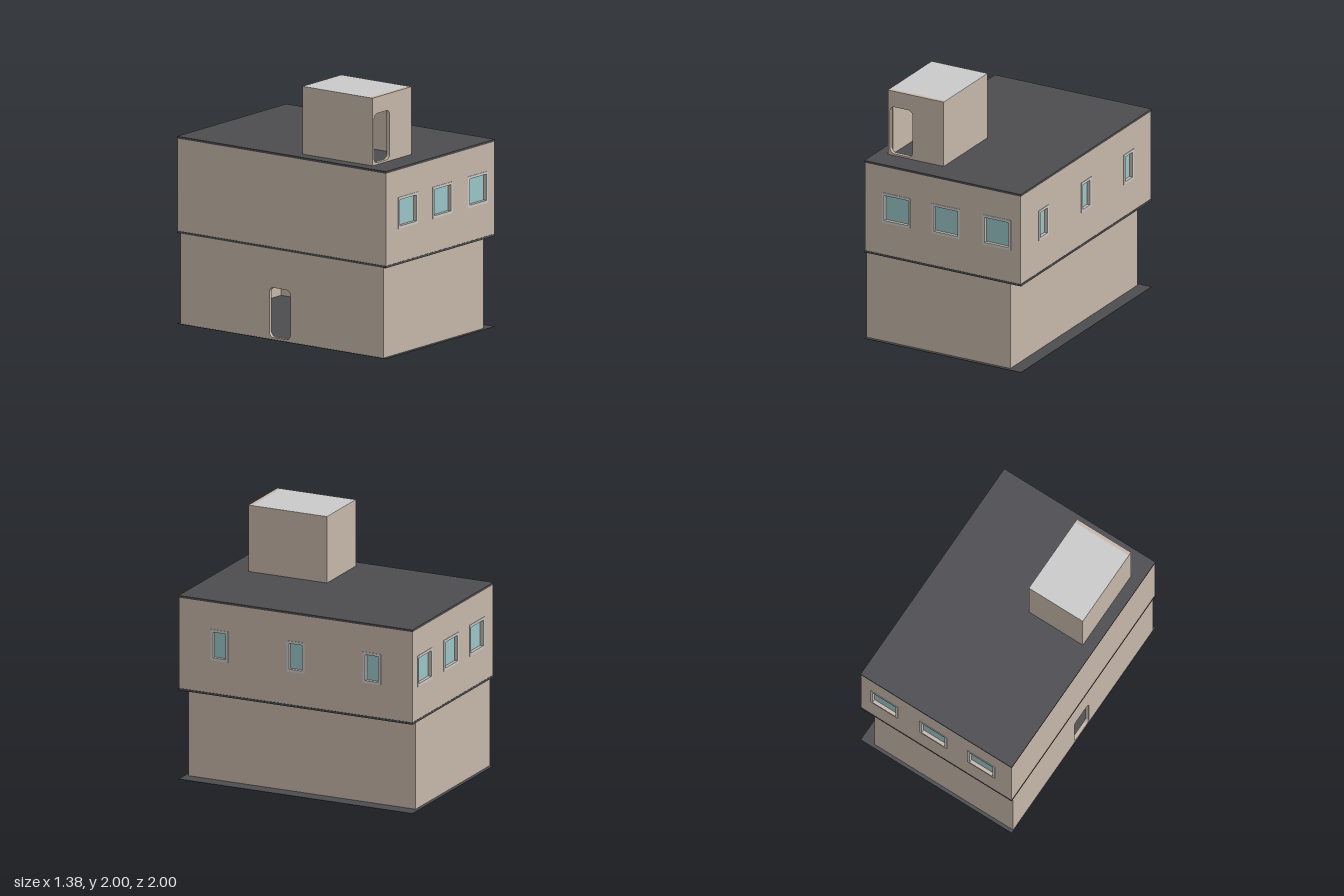
import * as THREE from 'three';

export function createModel() {
  const mat = (name, color) => new THREE.MeshStandardMaterial({ name, color });
  const wall = mat('beige wall', 0xc5b6a9);
  const dark = mat('dark slab', 0x4c4c50);
  const grey = mat('light grey', 0xc9c9c9);
  const glass = mat('window glass', 0x99c5c6);
  const T = 0.03; // wall thickness

  const model = new THREE.Group();
  model.name = 'house';

  const add = (parent, name, geometry, material) => {
    const mesh = new THREE.Mesh(geometry, material);
    mesh.name = name;
    parent.add(mesh);
    return mesh;
  };

  // Box given by its limits
  const box = (parent, name, material, x0, x1, y0, y1, z0, z1) => {
    const mesh = add(parent, name, new THREE.BoxGeometry(x1 - x0, y1 - y0, z1 - z0), material);
    mesh.position.set((x0 + x1) / 2, (y0 + y1) / 2, (z0 + z1) / 2);
  };

  // Rectangle with optionally rounded corners
  const outline = (Type, x0, x1, y0, y1, r = 0) => {
    const p = new Type();
    p.moveTo(x0 + r, y0);
    p.lineTo(x1 - r, y0);
    if (r) p.absarc(x1 - r, y0 + r, r, -Math.PI / 2, 0);
    else p.lineTo(x1, y0);
    p.lineTo(x1, y1 - r);
    if (r) p.absarc(x1 - r, y1 - r, r, 0, Math.PI / 2);
    p.lineTo(x0 + r, y1);
    if (r) p.absarc(x0 + r, y1 - r, r, Math.PI / 2, Math.PI);
    p.lineTo(x0, y0 + r);
    if (r) p.absarc(x0 + r, y0 + r, r, Math.PI, Math.PI * 1.5);
    return p;
  };

  // Upright plate with holes; its outer face lies at local z = front
  const panel = (parent, name, material, rect, holes, depth, front = 0) => {
    const shape = outline(THREE.Shape, ...rect);
    shape.holes = holes.map((h) => outline(THREE.Path, ...h));
    const geo = new THREE.ExtrudeGeometry(shape, { depth, bevelEnabled: false, curveSegments: 6 });
    geo.translate(0, 0, front - depth);
    add(parent, name, geo, material);
  };

  // Group whose local +z is the outward direction of one side
  const side = (name, angle, distance) => {
    const g = new THREE.Group();
    g.name = name;
    g.rotation.y = angle;
    g.position.set(Math.sin(angle) * distance, 0, Math.cos(angle) * distance);
    model.add(g);
    return g;
  };

  // Slabs
  box(model, 'groundSlab', dark, -0.69, 0.69, 0.001, 0.005, -0.997, 0.997);
  box(model, 'middleSlab', dark, -0.69, 0.69, 0.713, 0.73, -0.998, 0.998);
  box(model, 'roofSlab', dark, -0.69, 0.69, 1.453, 1.47, -0.998, 0.998);

  // Lower storey, set back on three sides
  box(model, 'lowerFrontWall', wall, -0.655, 0.55, 0, 0.713, 0.97 - T, 0.97);
  box(model, 'lowerBackWall', wall, -0.655, 0.55, 0, 0.713, -0.97, T - 0.97);
  box(model, 'lowerLeftWall', wall, 0.55, 0.58, 0, 0.713, -0.97, 0.97);
  const doorSide = side('lowerRightSide', -Math.PI / 2, 0.685);
  panel(doorSide, 'lowerDoorWall', wall, [-0.97, 0.97, 0, 0.713], [[-0.12, 0.08, 0.02, 0.41, 0.04]], T);

  // Upper storey walls with framed, recessed windows
  const upperSide = (name, angle, distance, halfWidth, centres, halfGlass) => {
    const g = side(name, angle, distance);
    const y0 = 1.012, y1 = 1.217, b = 0.021;
    const openings = centres.map((c) => [c - halfGlass, c + halfGlass, y0, y1]);
    panel(g, 'upperWall', wall, [-halfWidth, halfWidth, 0.73, 1.453], openings, T);
    for (const o of openings) {
      const [a, c] = o;
      panel(g, 'windowFrame', grey, [a - b, c + b, y0 - b, y1 + b], [o], 0.005, 0.004);
      box(g, 'windowPane', glass, a, c, y0, y1, -T, -T + 0.006);
    }
  };
  const xs = [-0.41, 0.028, 0.475];
  upperSide('upperFront', 0, 0.996, 0.687, xs, 0.104);
  upperSide('upperBack', Math.PI, 0.996, 0.687, xs.map((x) => -x), 0.104);
  upperSide('upperLeft', Math.PI / 2, 0.687, 0.996 - T, [-0.65, 0, 0.65], 0.055);
  upperSide('upperRight', -Math.PI / 2, 0.687, 0.996 - T, [], 0);

  // Rooftop stair hut with an open doorway
  const hut = side('roofHutFront', 0, 0.8);
  panel(hut, 'hutDoorWall', wall, [-0.597, -0.105, 1.47, 2], [[-0.577, -0.38, 1.485, 1.87, 0.04]], T);
  box(model, 'hutRightWall', wall, -0.597, -0.597 + T, 1.47, 1.996, 0.13, 0.77);
  box(model, 'hutLeftWall', wall, -0.105 - T, -0.105, 1.47, 1.996, 0.13, 0.77);
  box(model, 'hutBackWall', wall, -0.597 + T, -0.105 - T, 1.47, 1.996, 0.13, 0.13 + T);
  box(model, 'hutRoof', grey, -0.597, -0.105, 1.996, 2, 0.13, 0.77);

  return model;
}
